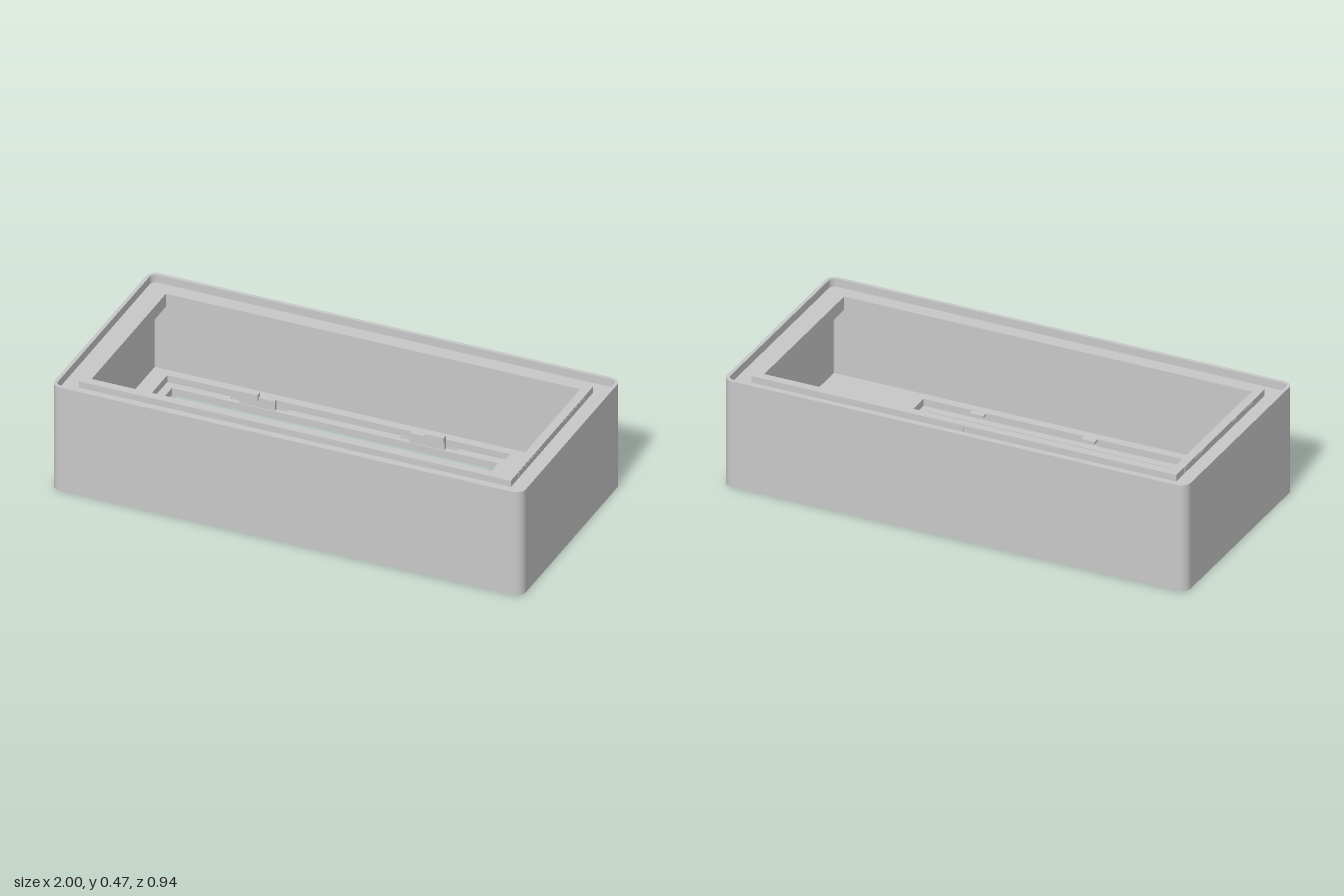
import * as THREE from 'three';
import { toCreasedNormals } from 'three/addons/utils/BufferGeometryUtils.js';

const HX = 1, HZ = 0.4725, RADIUS = 0.04;

// Sweep a closed [inset, y] profile around a rounded rectangle,
// flat along each profile segment and smooth around the corners
function sweepFrame(profile) {
  const SEG = 8, angles = [];
  for (let q = 0; q < 4; q++) {
    for (let i = 0; i <= SEG; i++) angles.push({ q, t: (q + i / SEG) * Math.PI / 2 });
  }
  const point = ([inset, y], { q, t }) => {
    const r = Math.max(RADIUS - inset, 0.001);
    const sx = q === 0 || q === 3 ? 1 : -1, sz = q < 2 ? 1 : -1;
    return [sx * (HX - inset - r) + r * Math.cos(t), y, sz * (HZ - inset - r) + r * Math.sin(t)];
  };
  const pos = [], nor = [];
  profile.forEach((lo, j) => {
    const hi = profile[(j + 1) % profile.length];
    const dIn = hi[0] - lo[0], dY = hi[1] - lo[1], len = Math.hypot(dIn, dY);
    angles.forEach((a, k) => {
      const b = angles[(k + 1) % angles.length];
      for (const [p, c] of [[lo, a], [hi, a], [hi, b], [lo, a], [hi, b], [lo, b]]) {
        pos.push(...point(p, c));
        nor.push(Math.cos(c.t) * dY / len, dIn / len, Math.sin(c.t) * dY / len);
      }
    });
  });
  const g = new THREE.BufferGeometry();
  g.setAttribute('position', new THREE.Float32BufferAttribute(pos, 3));
  g.setAttribute('normal', new THREE.Float32BufferAttribute(nor, 3));
  return g;
}

function rectPath(Type, x0, x1, z0, z1) {
  const p = new Type();
  p.moveTo(x0, -z1).lineTo(x1, -z1).lineTo(x1, -z0).lineTo(x0, -z0).closePath();
  return p;
}

export function createModel() {
  const group = new THREE.Group();
  const grey = new THREE.MeshStandardMaterial({ color: 0xc8c8c8 });
  grey.name = 'light grey plastic';
  const add = (name, geo) => {
    const mesh = new THREE.Mesh(geo, grey);
    mesh.name = name;
    group.add(mesh);
    return mesh;
  };
  const box = (name, w, h, d, x, y, z) =>
    add(name, new THREE.BoxGeometry(w, h, d)).position.set(x, y, z);

  // Walls: outer rim, lid channel, inner rim and a finely stepped overhang
  const profile = [[0, 0], [0, 0.465], [0.015, 0.465], [0.015, 0.43],
    [0.084, 0.43], [0.084, 0.458], [0.121, 0.458], [0.121, 0.4]];
  const STEPS = 18, dIn = (0.121 - 0.035) / STEPS, dY = 0.08 / STEPS;
  for (let i = 1; i <= STEPS; i++) {
    profile.push([0.121 - i * dIn, 0.4 - (i - 1) * dY], [0.121 - i * dIn, 0.4 - i * dY]);
  }
  profile.push([0.035, 0]);
  add('walls', sweepFrame(profile));

  // Floor in two layers, so the window has a stepped edge
  const clipX = [-0.5, 0.22];
  const floorLayer = (name, y, x0, x1, z, slots) => {
    const shape = rectPath(THREE.Shape, -0.965, 0.965, -0.4375, 0.4375);
    shape.holes.push(rectPath(THREE.Path, x0, x1, -z, z));
    for (const s of [-1, 1]) {
      const hole = new THREE.Path();
      hole.absarc(0.725, s * 0.223, 0.083, 0, Math.PI * 2, true);
      shape.holes.push(hole);
    }
    for (const c of slots) {
      shape.holes.push(rectPath(THREE.Path, c - 0.12, c + 0.12, -0.397, -0.386));
    }
    const g = new THREE.ExtrudeGeometry(shape, { depth: 0.03, bevelEnabled: false, curveSegments: 32 });
    g.rotateX(-Math.PI / 2);
    add(name, toCreasedNormals(g, 0.5)).position.y = y;
  };
  floorLayer('lowerFloor', 0, -0.86, 0.525, 0.365, clipX);
  floorLayer('upperFloor', 0.03, -0.895, 0.56, 0.4, []);

  // Snap clips on the back edge of the window
  for (const x of clipX) {
    box('clipStem', 0.15, 0.045, 0.014, x, 0.05, -0.376);
    box('clipHook', 0.08, 0.025, 0.024, x + Math.sign(x) * 0.035, 0.076, -0.372);
  }
  // Retaining tabs on the front edge
  for (const x of [-0.65, -0.16, 0.32]) box('retainingTab', 0.06, 0.01, 0.03, x, 0.055, 0.39);

  // Very shallow snap pads around the inner rim
  for (const s of [-1, 1]) {
    for (let i = 0; i < 4; i++) {
      box('longPad', 0.21, 0.02, 0.004, -0.735 + i * 0.42, 0.442, s * 0.3875);
    }
    for (const z of [-0.21, 0.21]) box('endPad', 0.004, 0.02, 0.21, s * 0.915, 0.442, z);
  }
  return group;
}
